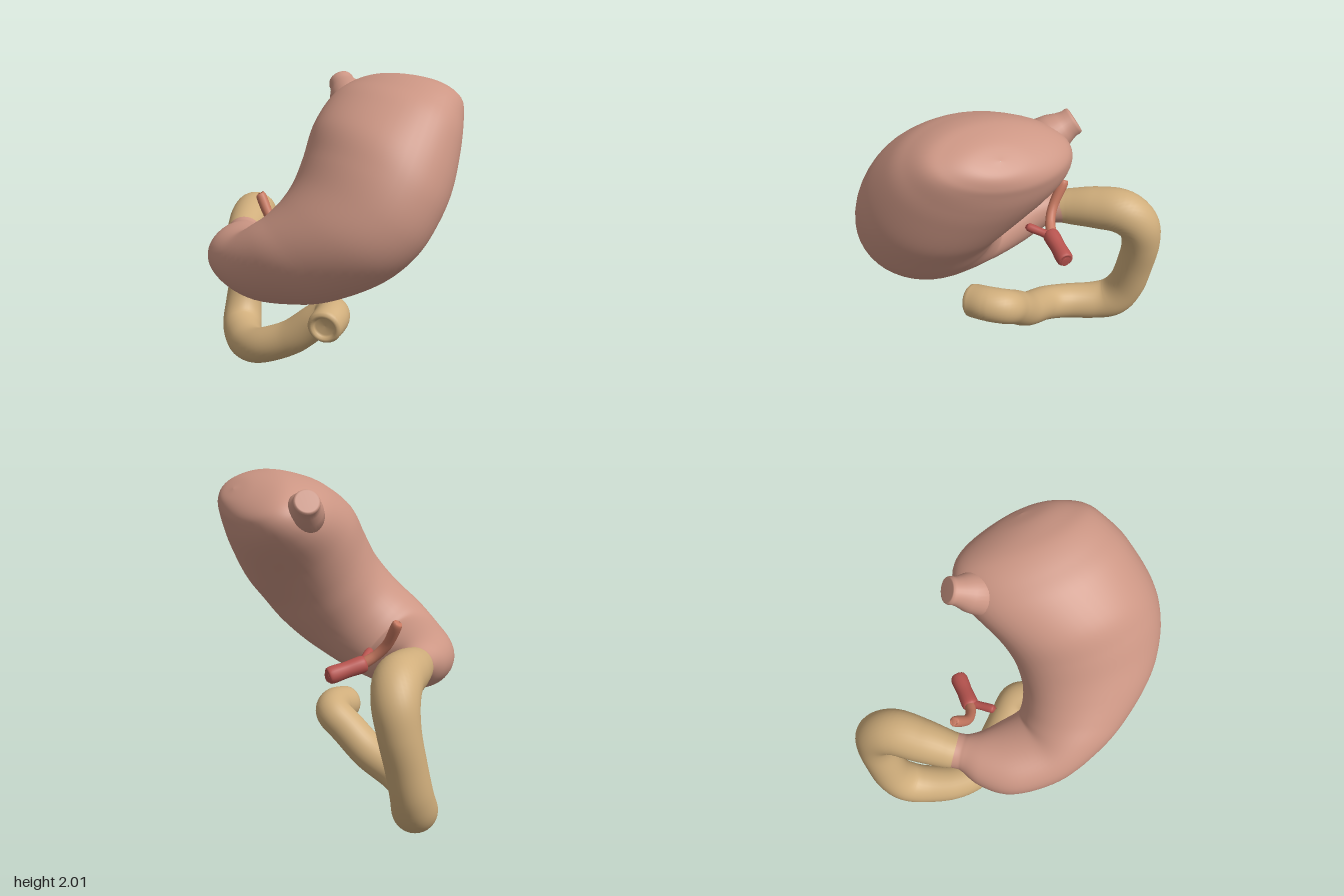
import * as THREE from 'three';

const V = (x, y, z) => new THREE.Vector3(x, y, z);
const curve = points => new THREE.CatmullRomCurve3(points, false, 'catmullrom', 0.5);
const material = (name, color) => {
  const m = new THREE.MeshStandardMaterial({ color });
  m.name = name;
  return m;
};

// Skin a row of elliptical rings; frame(t) gives each ring's centre and two half axes
function skin(frame, rings, sides) {
  const pos = [], index = [];
  for (let i = 0; i <= rings; i++) {
    const { centre, across, depth } = frame(i / rings);
    for (let j = 0; j < sides; j++) {
      const a = (j / sides) * Math.PI * 2;
      const q = centre.clone().addScaledVector(across, Math.cos(a)).addScaledVector(depth, Math.sin(a));
      pos.push(q.x, q.y, q.z);
      if (i < rings) {
        const k = (j + 1) % sides, c = i * sides, d = c + sides;
        index.push(c + j, c + k, d + j, c + k, d + k, d + j);
      }
    }
  }
  const g = new THREE.BufferGeometry();
  g.setAttribute('position', new THREE.Float32BufferAttribute(pos, 3));
  g.setIndex(index);
  g.computeVertexNormals();
  return g;
}

// Round tube through stations [x, y, z, radius]
function tube(stations, rings, sides) {
  const path = curve(stations.map(s => V(s[0], s[1], s[2])));
  const size = curve(stations.map(s => V(s[3], 0, 0)));
  return skin(t => {
    const T = path.getTangent(t), r = Math.max(size.getPoint(t).x, 0.001);
    const depth = V(0, 0.3, 0.95);
    depth.addScaledVector(T, -depth.dot(T)).normalize();
    const across = V(0, 0, 0).crossVectors(depth, T).normalize();
    return { centre: path.getPoint(t), across: across.multiplyScalar(r), depth: depth.multiplyScalar(r) };
  }, rings, sides);
}

// Sac between an inner and an outer edge: stations [inner, outer, halfDepth, tilt, yaw]
function sac(stations, rings, sides) {
  const inner = curve(stations.map(s => s[0]));
  const outer = curve(stations.map(s => s[1]));
  const form = curve(stations.map(s => V(s[2], s[3], s[4])));
  return skin(t => {
    const a = inner.getPoint(t), b = outer.getPoint(t), f = form.getPoint(t);
    const depth = V(Math.sin(f.z) * Math.cos(f.y), Math.sin(f.y), Math.cos(f.z) * Math.cos(f.y));
    return {
      centre: a.clone().add(b).multiplyScalar(0.5),
      across: b.clone().sub(a).multiplyScalar(0.5),
      depth: depth.multiplyScalar(f.x),
    };
  }, rings, sides);
}

// Lathe a profile of [radius, height] and aim its axis along a direction
function turned(profile, origin, direction) {
  const g = new THREE.LatheGeometry(profile.map(p => new THREE.Vector2(p[0], p[1])), 32);
  g.applyQuaternion(new THREE.Quaternion().setFromUnitVectors(V(0, 1, 0), direction.clone().normalize()));
  return g.translate(origin.x, origin.y, origin.z);
}

export function createModel() {
  const group = new THREE.Group();
  const pink = material('stomach pink', 0xcc9684);
  const tan = material('intestine tan', 0xd0ae7c);
  const red = material('artery red', 0xb8544f);
  const coral = material('branch coral', 0xc67860);
  const add = (name, geometry, mat) => {
    const m = new THREE.Mesh(geometry, mat);
    m.name = name;
    group.add(m);
  };

  // Stomach body lies in a plane leaning back: x, s up the slope, w out of it.
  // Each row: inner x, s; outer x, s; w; half depth; twist of the outer edge forward
  const lean = 0.66, up = Math.cos(lean), out = Math.sin(lean);
  const slope = (x, s, w) => V(x, up * s + out * w, up * w - out * s);
  const body = [
    [0.439, 1.868, 0.441, 1.868, 0.72, 0.001, 0],
    [0.25, 1.853, 0.61, 1.855, 0.73, 0.1, 0.02],
    [0.04, 1.81, 0.725, 1.812, 0.75, 0.18, 0.035],
    [-0.055, 1.75, 0.8, 1.76, 0.775, 0.235, 0.045],
    [-0.09, 1.655, 0.86, 1.66, 0.8, 0.295, 0.045],
    [-0.075, 1.52, 0.92, 1.52, 0.83, 0.35, 0.03],
    [0, 1.3, 0.98, 1.28, 0.855, 0.395, 0],
    [0.045, 1.1, 0.998, 1.08, 0.85, 0.385, 0],
    [0.05, 0.95, 0.96, 0.86, 0.835, 0.37, 0],
    [0.035, 0.84, 0.84, 0.65, 0.835, 0.355, 0],
    [0, 0.75, 0.62, 0.465, 0.84, 0.335, 0],
    [-0.04, 0.69, 0.36, 0.33, 0.845, 0.315, 0],
  ].map(([xi, si, xo, so, w, b, k]) => [slope(xi, si, w - k), slope(xo, so, w + k), b, lean, 0]);
  // Antrum narrows and turns back to the pylorus
  const antrum = [
    [V(-0.09, 1.07, 0.315), V(0.03, 0.665, 0.43), 0.28, 0.35, -0.1],
    [V(-0.25, 1.06, 0.305), V(-0.25, 0.68, 0.355), 0.235, 0.15, -0.35],
    [V(-0.37, 1.045, 0.245), V(-0.37, 0.735, 0.26), 0.175, 0.05, -0.65],
    [V(-0.435, 1.03, 0.185), V(-0.435, 0.805, 0.185), 0.122, 0, -0.785],
    [V(-0.465, 1.027, 0.155), V(-0.465, 0.815, 0.155), 0.111, 0, -0.785],
    [V(-0.53, 1.045, 0.095), V(-0.53, 0.815, 0.095), 0.113, 0, -0.785],
  ];
  add('stomach', sac([...body, ...antrum], 120, 48), pink);

  // Oesophagus stub flaring out of the upper left of the stomach
  add('oesophagus', turned([
    [0.1, -0.3], [0.13, -0.2], [0.112, -0.12], [0.09, -0.07], [0.079, -0.035],
    [0.08, -0.01], [0.075, 0.004], [0.066, 0.006], [0, 0.006],
  ], V(-0.155, 1.9, -0.395), V(-0.8, 0.52, -0.3)), pink);

  // Duodenum: back to the left, down, then forward and across below the stomach
  add('duodenum', tube([
    [-0.49, 0.925, 0.135, 0.112],
    [-0.54, 0.933, 0.085, 0.122],
    [-0.64, 0.952, -0.03, 0.138],
    [-0.75, 0.952, -0.16, 0.145],
    [-0.835, 0.86, -0.23, 0.138],
    [-0.872, 0.7, -0.23, 0.126],
    [-0.876, 0.5, -0.185, 0.122],
    [-0.86, 0.3, -0.13, 0.126],
    [-0.8, 0.17, -0.065, 0.135],
    [-0.69, 0.13, 0.015, 0.128],
    [-0.52, 0.137, 0.105, 0.12],
    [-0.35, 0.175, 0.125, 0.117],
    [-0.15, 0.27, 0.04, 0.115],
    [0, 0.4, -0.035, 0.113],
    [0.1, 0.475, -0.075, 0.113],
    [0.185, 0.492, -0.015, 0.113],
    [0.235, 0.475, 0.085, 0.11],
  ], 130, 32), tan);

  // Open end of the duodenum: rounded rim with a shallow hollow
  add('duodenumOpening', turned([
    [0.108, -0.03], [0.11, 0], [0.107, 0.022], [0.093, 0.036], [0.078, 0.034],
    [0.067, 0.02], [0.058, 0.008], [0, 0.004],
  ], V(0.235, 0.475, 0.085), V(0.5, -0.17, 0.85)), tan);

  // Artery trunk and its two branches, closed at both ends
  const vessel = (name, points, r, mat) => {
    const first = points[0], last = points[points.length - 1];
    add(name, tube([
      [first[0], first[1], first[2] - 0.002, 0],
      ...points.map(p => [...p, r]),
      [last[0], last[1], last[2] + 0.002, 0],
    ], 36, 16), mat);
  };
  vessel('arteryTrunk', [[-0.21, 0.855, -0.29], [-0.23, 0.88, -0.18], [-0.25, 0.905, -0.07]], 0.05, red);
  vessel('longBranch', [[-0.25, 0.905, -0.08], [-0.29, 0.96, -0.005], [-0.345, 1.04, 0.04], [-0.425, 1.175, 0.05]], 0.032, coral);
  vessel('shortBranch', [[-0.24, 0.905, -0.08], [-0.2, 0.92, -0.03], [-0.15, 0.94, 0.035]], 0.026, red);

  return group;
}
